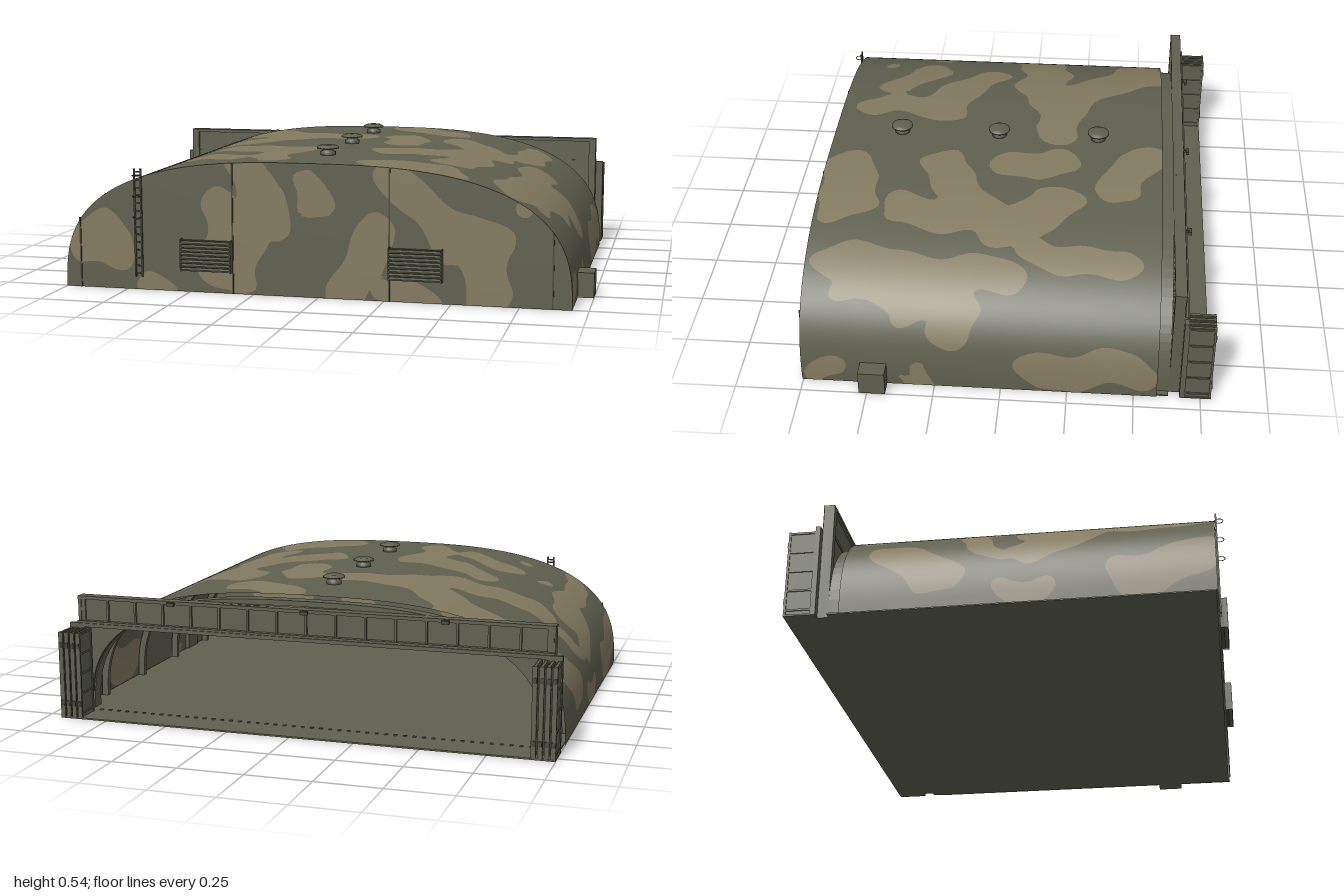
import * as THREE from 'three';

const paint = (name, color, side = THREE.FrontSide) => {
  const m = new THREE.MeshStandardMaterial({ color, side });
  m.name = name;
  return m;
};
const W = 0.97, H = 0.503, N = 2.8;           // arch half width, height and squareness
const FRONT = 0.755, REAR = -0.587;

// Arch cross-section: angle 0 is the left foot, PI the right foot
function arch(a, k = 1) {
  const c = Math.cos(a), s = Math.max(0, Math.sin(a));
  return [k * W * Math.sign(c) * Math.abs(c) ** (2 / N), k * H * s ** (2 / N)];
}
function archNormal(a) {
  const [u, y] = arch(a);
  return new THREE.Vector3(Math.sign(u) * Math.abs(u / W) ** (N - 1) / W, (y / H) ** (N - 1) / H, 0).normalize();
}

// Camouflage patches as capsules: start, end, radius. Roof uses unrolled width and z.
const roofPatches = [
  [-.9, -.5, -.6, -.52, .09], [-.61, -.5, -.3, -.18, .12], [-.29, -.17, -.04, -.13, .08],
  [-.9, -.08, -.42, -.06, .1], [-1, .13, -.95, .67, .08], [-.5, .19, -.2, .33, .09],
  [-.2, .35, -.18, .62, .07], [-.6, .42, -.36, .53, .07], [.13, -.54, .38, -.4, .08],
  [.16, -.2, .24, 0, .08], [.42, -.17, .65, .02, .095], [.2, .26, .54, .17, .09],
  [.54, .16, .52, .42, .095], [.27, .64, .5, .66, .11], [.82, -.45, .74, -.15, .08],
  [-.8, .36, -.8, .37, .035], [-.62, .62, -.61, .62, .03],
];
const sidePatches = [
  [.85, .62, .9, .02, .1], [1, .6, 1.05, .34, .07], [1.12, .38, 1.13, .37, .04],
  [.9, .24, 1.2, .17, .08], [1.36, -.16, 1.36, -.5, .09], [1.42, .7, 1.4, .63, .05],
  [1.36, .3, 1.38, .3, .025], [1.44, .36, 1.44, .3, .03], [-1.15, -.4, -1.35, -.25, .09],
  [-1.2, .1, -1.1, .3, .08], [-1.38, .45, -1.3, .68, .1], [-1.4, 0, -1.42, .12, .05],
  [-1.05, -.1, -1.2, -.05, .05],
];
const frontPatches = [
  [-.9, .19, -.8, .14, .09], [-.26, .47, -.2, .3, .08], [-.28, .25, -.27, .03, .06],
  [-.03, .45, -.02, .37, .06], [-.4, .32, -.38, .08, .065], [.2, .22, .13, 0, .08],
  [.32, .42, .5, .27, .085], [.62, .22, .66, .03, .08], [.76, .33, .76, .34, .03],
  [-.64, .02, -.58, .02, .05], [.3, .02, .45, .02, .05],
];
function patchField(patches, x, y) {
  const px = x + .025 * Math.sin(13 * y + 1) + .012 * Math.sin(29 * y + 5 * x);
  const py = y + .025 * Math.sin(12 * x + 2) + .012 * Math.sin(31 * x - 4 * y);
  let sum = 0;
  for (const [ax, ay, bx, by, r] of patches) {
    const dx = bx - ax, dy = by - ay;
    const t = THREE.MathUtils.clamp(((px - ax) * dx + (py - ay) * dy) / (dx * dx + dy * dy || 1), 0, 1);
    sum += Math.exp(45 * (r - Math.hypot(px - ax - t * dx, py - ay - t * dy)));
  }
  return Math.log(sum + 1e-9) / 45;
}

// Grid surface whose triangles are cut along the patch outline into two material groups
function camoGeometry(sample, nu, nv) {
  const out = [[], []];
  const cut = (tri, sign) => {
    const poly = [];
    tri.forEach((a, i) => {
      const b = tri[(i + 1) % 3], fa = a.f * sign, fb = b.f * sign;
      if (fa >= 0) poly.push(a);
      if ((fa >= 0) !== (fb >= 0)) {
        const t = fa / (fa - fb);
        poly.push({ p: a.p.clone().lerp(b.p, t), n: a.n.clone().lerp(b.n, t).normalize() });
      }
    });
    return poly;
  };
  const addTriangle = (a, b, c) => {
    const face = b.p.clone().sub(a.p).cross(c.p.clone().sub(a.p));
    if (face.lengthSq() < 1e-16) return;
    const tri = face.dot(a.n.clone().add(b.n).add(c.n)) > 0 ? [a, b, c] : [a, c, b];
    [-1, 1].forEach((sign, k) => {
      const poly = cut(tri, sign);
      for (let i = 2; i < poly.length; i++) out[k].push(poly[0], poly[i - 1], poly[i]);
    });
  };
  const grid = [];
  for (let i = 0; i <= nu; i++) {
    grid.push([]);
    for (let j = 0; j <= nv; j++) grid[i].push(sample(i / nu, j / nv));
  }
  for (let i = 0; i < nu; i++) for (let j = 0; j < nv; j++) {
    addTriangle(grid[i][j], grid[i + 1][j], grid[i + 1][j + 1]);
    addTriangle(grid[i][j], grid[i + 1][j + 1], grid[i][j + 1]);
  }
  const all = out[0].concat(out[1]), g = new THREE.BufferGeometry();
  g.setAttribute('position', new THREE.Float32BufferAttribute(all.flatMap(v => v.p.toArray()), 3));
  g.setAttribute('normal', new THREE.Float32BufferAttribute(all.flatMap(v => v.n.toArray()), 3));
  g.addGroup(0, out[0].length, 0);
  g.addGroup(out[0].length, out[1].length, 1);
  return g;
}

// Plate along z with an arched opening; the outer outline is a list of points
const archPoints = k => Array.from({ length: 49 }, (_, i) => new THREE.Vector2(...arch(Math.PI * i / 48, k)));
const archPlate = (outline, inner, depth) => new THREE.ExtrudeGeometry(
  new THREE.Shape([...outline, ...archPoints(inner).reverse()]), { depth, bevelEnabled: false });

export function createModel() {
  const olive = paint('olive', 0x5f604e);
  const oliveShell = paint('olive shell', 0x5f604e, THREE.DoubleSide);
  const tanShell = paint('tan shell', 0x837a60, THREE.DoubleSide);
  const dark = paint('dark olive', 0x48493b);
  const model = new THREE.Group();
  model.name = 'hangar';
  const body = new THREE.Group();
  body.name = 'body';
  body.position.x = -0.03;
  model.add(body);
  const add = (name, geo, mat, x = 0, y = 0, z = 0) => {
    const m = new THREE.Mesh(geo, mat);
    m.name = name;
    m.position.set(x, y, z);
    body.add(m);
    return m;
  };
  const box = (name, mat, x0, x1, y0, y1, z0, z1) =>
    add(name, new THREE.BoxGeometry(x1 - x0, y1 - y0, z1 - z0), mat, (x0 + x1) / 2, (y0 + y1) / 2, (z0 + z1) / 2);

  // Painted arched roof and front wall
  const camo = [oliveShell, tanShell];
  add('roofShell', camoGeometry((s, t) => {
    const a = Math.PI * s, [u, y] = arch(a), z = REAR + t * (FRONT - REAR);
    const q = Math.sign(u) * (Math.abs(u) + H - y);
    return { p: new THREE.Vector3(u, y, z), n: archNormal(a), f: patchField([...roofPatches, ...sidePatches], q, z) };
  }, 120, 70), camo);
  add('frontWall', camoGeometry((s, t) => {
    const [u, h] = arch(Math.PI * s), y = h * t;
    return { p: new THREE.Vector3(u, y, FRONT), n: new THREE.Vector3(0, 0, 1), f: patchField(frontPatches, u - .03, y) };
  }, 120, 36), camo);

  // Floor, rear apron and toothed threshold rail
  box('floor', olive, -.965, .965, 0, .006, -.63, .75);
  box('threshold', olive, -.94, .94, 0, .006, -.685, -.63);
  box('apron', olive, -.97, .97, 0, .006, -.79, -.685);
  for (let i = 0; i < 48; i++) {
    const x = -.86 + i * 1.72 / 47;
    box('railTooth', olive, x - .006, x + .006, .006, .01, -.665, -.655);
  }

  // Rear collar and inner ribs
  add('rearCollar', archPlate(archPoints(.972), .93, .05), olive, 0, 0, -.632);
  for (const z of [-.45, -.1, .25, .6]) add('innerRib', archPlate(archPoints(.992), .965, .02), olive, 0, 0, z);

  // Front wall seams
  for (const [x, h] of [[-.91, .27], [-.3, .494], [.3, .494], [.9, .28]])
    box('wallSeam', dark, x - .003, x + .003, 0, h, FRONT, FRONT + .004);

  // Louvred vents
  for (const x of [-.4, .4]) {
    box('ventBack', dark, x - .1, x + .1, .085, .2, FRONT, .77);
    for (let i = 0; i < 8; i++) {
      const slat = box('ventSlat', olive, x - .1, x + .1, .088 + i * .0145, .094 + i * .0145, .762, .785);
      slat.rotation.x = .3;
    }
    for (const e of [-.1, .096]) box('ventCheek', olive, x + e, x + e + .004, .082, .205, FRONT, .785);
  }

  // Ladder with safety hoops
  for (const x of [-.685, -.659]) box('ladderRail', dark, x - .003, x + .003, .05, .465, .757, .763);
  for (let i = 0; i < 14; i++) box('ladderRung', dark, -.685, -.659, .06 + i * .03, .065 + i * .03, .757, .762);
  for (const y of [.28, .36, .44]) {
    const hoop = add('ladderHoop', new THREE.TorusGeometry(.016, .0015, 5, 16), dark, -.672, y, .771);
    hoop.rotation.x = Math.PI / 2;
  }

  // Roof ventilators
  const cap = [[0, 0], [.03, 0], [.03, .016], [.022, .018], [.022, .026], [.043, .028], [.043, .034], [.028, .041], [0, .041]];
  const capGeo = new THREE.LatheGeometry(cap.map(p => new THREE.Vector2(...p)), 20);
  for (const z of [-.325, .08, .48]) add('roofVentilator', capGeo, olive, 0, .5, z);

  // Side utility box
  box('utilityBox', olive, .955, 1.03, 0, .095, .43, .53);

  // Rear portal: wall around the arch, posts, lintel and its stiffeners
  const wallOutline = [[.94, 0], [.94, .46], [-.94, .46], [-.94, 0]].map(p => new THREE.Vector2(...p));
  add('portalWall', archPlate(wallOutline, .93, .012), olive, 0, 0, -.655);
  box('lintel', olive, -.94, .94, .36, .465, -.665, -.645);
  box('lintelTop', olive, -.94, .94, .452, .465, -.675, -.632);
  box('lintelBottom', olive, -.94, .94, .355, .368, -.685, -.64);
  for (let i = 0; i <= 16; i++) {
    const x = -.93 + i * 1.86 / 16;
    box('lintelStiffener', olive, x - .004, x + .004, .36, .455, -.675, -.66);
  }
  for (const s of [-1, 1]) {
    const x = s * .925;
    box('portalPost', olive, x - .015, x + .015, 0, .465, -.672, -.632);
    box('postFlange', olive, s * .94 - .03, s * .94 + .03, 0, .36, -.69, -.672);
  }
  box('doorHeadRail', olive, -.97, .97, .345, .36, -.69, -.682);
  for (const x of [-.54, 0, .54]) {
    box('lampArm', dark, x - .005, x + .005, .455, .465, -.69, -.665);
    box('lamp', dark, x - .015, x + .015, .45, .463, -.698, -.686);
  }

  // Folded door leaves stacked at both sides
  for (const s of [-1, 1]) for (let i = 0; i < 4; i++) {
    const x = s * (.961 - i * .024);
    box('doorLeaf', olive, x - .005, x + .005, .006, .342, -.788, -.685);
    for (const z of [-.785, -.688]) box('leafStile', olive, x - .009, x + .009, .006, .342, z - .004, z + .004);
    for (let k = 0; k < 5; k++)
      box('leafRib', olive, x - .009, x + .009, .02 + k * .078, .027 + k * .078, -.786, -.687);
    for (const y of [.05, .28]) box('leafHinge', dark, x - .007, x + .007, y, y + .02, -.792, -.786);
  }
  return model;
}
